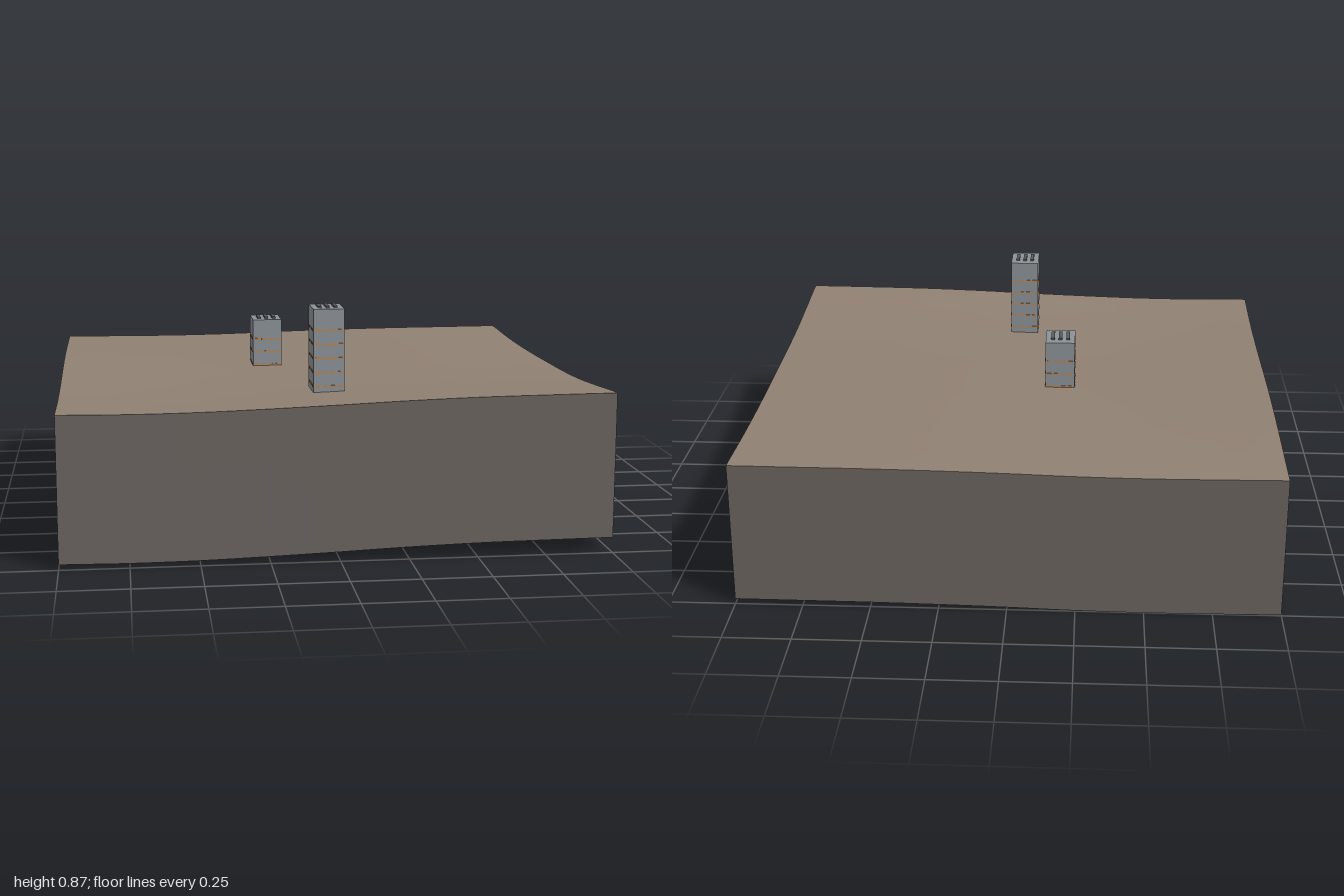
import * as THREE from 'three';

const mat = (name, color, side = THREE.FrontSide) => {
  const m = new THREE.MeshStandardMaterial({ color, side });
  m.name = name;
  return m;
};

// Heights along the four edges of the ground, from -1 to 1
const edge = (heights) => {
  const curve = new THREE.SplineCurve(heights.map((h, i) => new THREE.Vector2(i, h)));
  return (s) => curve.getPoint(THREE.MathUtils.clamp((s + 1) / 2, 0, 1)).y;
};
const west = edge([0.538, 0.546, 0.554, 0.557, 0.553, 0.545, 0.541, 0.544, 0.555]);
const east = edge([0.555, 0.546, 0.541, 0.541, 0.544, 0.548, 0.557, 0.574, 0.592]);
const north = edge([0.538, 0.536, 0.535, 0.538, 0.545, 0.55, 0.553, 0.554, 0.555]);
const south = edge([0.555, 0.552, 0.554, 0.561, 0.57, 0.58, 0.587, 0.59, 0.592]);
const DROP = 0.535;

// Ground height: blend of the edges plus a soft swell in the middle
function ground(x, z) {
  const u = (x + 1) / 2, v = (z + 1) / 2, mix = THREE.MathUtils.lerp;
  return mix(west(z), east(z), u) + mix(north(x), south(x), v)
    - mix(mix(0.538, 0.555, u), mix(0.555, 0.592, u), v)
    + 0.006 * (1 - x * x) * (1 - z * z);
}

export function createModel() {
  const model = new THREE.Group();
  const earth = mat('earth', 0x8f8072, THREE.DoubleSide);
  const soil = mat('soil side', 0x6b6460, THREE.DoubleSide);
  const concrete = mat('concrete', 0x8c9297);
  const vent = mat('dark vent', 0x585c60);
  const amber = mat('amber light', 0xc8803c);

  const add = (parent, name, geometry, material, x = 0, y = 0, z = 0) => {
    const mesh = new THREE.Mesh(geometry, material);
    mesh.name = name;
    mesh.position.set(x, y, z);
    parent.add(mesh);
    return mesh;
  };

  // Rolling ground surface
  const N = 40;
  const top = new THREE.PlaneGeometry(2, 2, N, N).rotateX(-Math.PI / 2);
  const p = top.attributes.position;
  for (let i = 0; i < p.count; i++) p.setY(i, ground(p.getX(i), p.getZ(i)));
  top.computeVertexNormals();
  add(model, 'groundSurface', top, earth);

  // Four skirt walls whose lower edge follows the ground; open underneath
  ['front', 'right', 'back', 'left'].forEach((side, k) => {
    const wall = new THREE.PlaneGeometry(2, 1, N, 1).translate(0, 0, 1).rotateY(k * Math.PI / 2);
    const q = wall.attributes.position;
    for (let i = 0; i < q.count; i++) {
      q.setY(i, ground(q.getX(i), q.getZ(i)) - (q.getY(i) < 0 ? DROP : 0));
    }
    add(model, side + 'GroundWall', wall, soil);
  });

  // Tower block with rows of lit windows and three roof vents
  function tower(name, x, z, roof, rows) {
    const W = 0.116, D = 0.156;
    const g = new THREE.Group();
    g.name = name;
    g.position.set(x, 0, z);
    const base = ground(x, z) - 0.002;
    add(g, 'towerBody', new THREE.BoxGeometry(W, roof - base, D), concrete, 0, (roof + base) / 2, 0);
    for (const i of [-1, 0, 1]) {
      add(g, 'roofVent', new THREE.BoxGeometry(0.014, 0.007, 0.08), vent, i * 0.03, roof + 0.0035, 0);
    }
    const alongX = new THREE.BoxGeometry(0.018, 0.007, 0.004);
    const alongZ = new THREE.BoxGeometry(0.004, 0.007, 0.018);
    for (let r = 0; r < rows; r++) {
      const y = roof - 0.079 - r * 0.0525;
      for (const s of [-1, 1]) {
        for (let c = -1.5; c <= 1.5; c++) {
          add(g, 'window', alongX, amber, c * 0.028, y, s * D / 2);
          add(g, 'window', alongZ, amber, s * W / 2, y, c * 0.038);
        }
      }
    }
    model.add(g);
  }
  tower('tallTower', 0, 0.58, 0.865, 5);
  tower('shortTower', -0.17, -0.08, 0.738, 3);

  return model;
}
